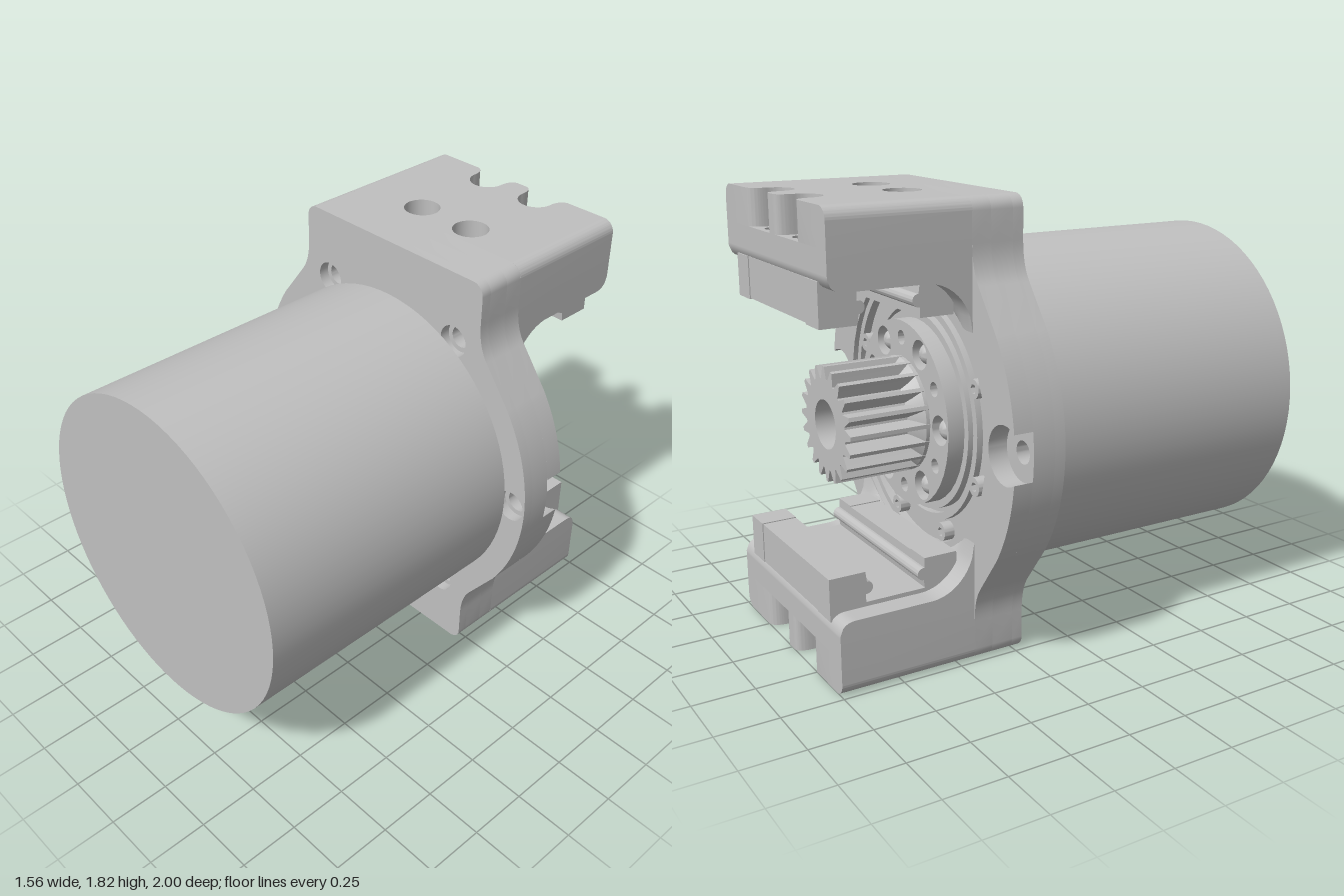
import * as THREE from 'three';
import { toCreasedNormals } from 'three/addons/utils/BufferGeometryUtils.js';

const CY = 0.9075;                       // height of the motor axis
const W = 0.487;                         // half width of the arms
const metal = new THREE.MeshStandardMaterial({ color: 0xc0c0c0 });
metal.name = 'light grey metal';

function add(parent, name, geometry, crease = 0.5) {
  const mesh = new THREE.Mesh(toCreasedNormals(geometry, crease), metal);
  mesh.name = name;
  parent.add(mesh);
  return mesh;
}

// Extrusion along z between two depths
function prism(shape, z0, z1) {
  const g = new THREE.ExtrudeGeometry(shape, { depth: z1 - z0, bevelEnabled: false, curveSegments: 20 });
  return g.translate(0, 0, z0);
}

// Solid of revolution around the z axis, points are [radius, z] running forwards
function turned(points) {
  const g = new THREE.LatheGeometry(points.map(([r, z]) => new THREE.Vector2(r, -z)), 64);
  return g.rotateX(-Math.PI / 2);
}

function hole(shape, x, y, r) {
  shape.holes.push(new THREE.Path().absarc(x, y, r, 0, Math.PI * 2, true));
}

function polar(r, a) { return [r * Math.cos(a), r * Math.sin(a)]; }

// Flange outline from one quarter, mirrored; optionally with open side counterbores
function flangeShape(notched) {
  const q = [];
  if (notched) {
    for (let i = 0; i <= 10; i++) {
      const t = 3.1 - (3.1 - 0.979) * i / 10;
      q.push([0.71 + 0.115 * Math.cos(t), 0.115 * Math.sin(t)]);
    }
  }
  const start = notched ? 0.14 : 0.015;
  for (let i = 0; i <= 14; i++) q.push(polar(0.78, start + (0.585 - start) * i / 14));
  const curve = new THREE.QuadraticBezierCurve(
    new THREE.Vector2(0.53, 0.59), new THREE.Vector2(W, 0.647), new THREE.Vector2(W, 0.74));
  curve.getPoints(8).forEach(p => q.push([p.x, p.y]));
  for (let i = 0; i <= 6; i++) {
    const [x, y] = polar(0.05, i * Math.PI / 12);
    q.push([W - 0.05 + x, CY - 0.05 + y]);
  }
  const r = [...q].reverse();
  const all = [...q, ...r.map(([x, y]) => [-x, y]), ...q.map(([x, y]) => [-x, -y]), ...r.map(([x, y]) => [x, -y])];
  const shape = new THREE.Shape(all.map(([x, y]) => new THREE.Vector2(x, y)));
  hole(shape, 0, 0, 0.58);
  return shape;
}

function buildFlange(root) {
  const flange = new THREE.Group();
  flange.name = 'flange';
  const front = flangeShape(false), middle = flangeShape(false);
  for (let i = 0; i < 6; i++) {
    const [x, y] = polar(0.708, i * Math.PI / 3);
    hole(front, x, y, 0.066);
    hole(middle, x, y, 0.045);
  }
  add(flange, 'flangeFront', prism(front, -0.26, -0.215));
  add(flange, 'flangeMiddle', prism(middle, -0.352, -0.26));
  add(flange, 'flangeBack', prism(flangeShape(true), -0.432, -0.352));
  root.add(flange);
}

// Plan of an arm's upper layers (x across, y towards the back), with end notches
function armPlan(r) {
  const w = W - 0.05, s = new THREE.Shape();
  s.moveTo(-w, 0.43);
  s.lineTo(w, 0.43);
  s.lineTo(w, 1);
  if (r > 0.06) {
    s.lineTo(0.25, 1);
    s.quadraticCurveTo(0.21, 0.99, 0.21, 0.93);
    s.absarc(0.135, 0.93, r, 0, -Math.PI, true);
    s.quadraticCurveTo(0.06, 1, 0.02, 1);
    s.lineTo(-0.02, 1);
    s.quadraticCurveTo(-0.06, 1, -0.06, 0.93);
    s.absarc(-0.135, 0.93, r, 0, -Math.PI, true);
    s.quadraticCurveTo(-0.21, 0.99, -0.25, 1);
  }
  s.lineTo(-w, 1);
  for (const x of [-0.135, 0.135]) {
    hole(s, x, 0.53, r);
    if (r < 0.06) hole(s, x, 0.93, r);
  }
  return s;
}

// Underside of the arm: fillet to the flange, flat seat, rounded tip, cleared by the bore
function undersideY(x, z) {
  const d = -z;
  let y = 0.61;
  if (d < 0.62) y = 0.40 + 0.21 * Math.sqrt(Math.max(0, 1 - ((0.62 - d) / 0.19) ** 2));
  if (d > 0.94) y = 0.61 + 0.05 * (1 - Math.sqrt(Math.max(0, 1 - ((d - 0.94) / 0.06) ** 2)));
  const bore = Math.abs(x) < 0.58 ? Math.sqrt(0.58 ** 2 - x * x) : 0;
  return Math.max(y, bore);
}

function buildArm(name) {
  const arm = new THREE.Group();
  arm.name = name;

  add(arm, 'armTop', prism(armPlan(0.075), 0.76, CY).rotateX(-Math.PI / 2));
  add(arm, 'armLedge', prism(armPlan(0.045), 0.67, 0.76).rotateX(-Math.PI / 2));

  // Conical bottoms of the drilled holes
  for (const x of [-0.135, 0.135]) {
    for (const z of [-0.53, -0.93]) {
      const cone = [new THREE.Vector2(0.045, 0.735), new THREE.Vector2(0.012, 0.675), new THREE.Vector2(0, 0.675)];
      add(arm, 'drilledHole', new THREE.LatheGeometry(cone, 24)).position.set(x, 0, z);
    }
  }

  // Rounded long edges
  for (const side of [-1, 1]) {
    const s = new THREE.Shape();
    s.moveTo(W - 0.05, 0.67);
    s.lineTo(W, 0.67);
    s.lineTo(W, CY - 0.05);
    s.absarc(W - 0.05, CY - 0.05, 0.05, 0, Math.PI / 2, false);
    const g = prism(s, 0.43, 1);
    add(arm, 'armEdge', side > 0 ? g.translate(0, 0, -1.43) : g.rotateY(Math.PI));
  }

  // Lower body shaped by the underside rule
  const g = new THREE.BoxGeometry(2 * W, 0.1, 0.57, 40, 1, 48).translate(0, 0.62, -0.715);
  const p = g.attributes.position;
  for (let i = 0; i < p.count; i++) {
    if (p.getY(i) < 0.62) p.setY(i, undersideY(p.getX(i), p.getZ(i)));
  }
  add(arm, 'armUnderside', g);

  // Linear carriage: channel with a bead on each inner wall
  const carriage = (inset) => {
    const s = new THREE.Shape();
    s.moveTo(0.46 + inset, 0.64);
    s.lineTo(0.46 + inset, 0.47 + inset);
    s.lineTo(0.60, 0.47 + inset);
    s.lineTo(0.60, 0.51);
    s.absarc(0.605, 0.535, 0.025, -Math.PI / 2, Math.PI / 2, false);
    s.lineTo(0.60, 0.5925);
    s.lineTo(0.85, 0.5925);
    s.lineTo(0.85, 0.56);
    s.absarc(0.845, 0.535, 0.025, Math.PI / 2, Math.PI * 1.5, false);
    s.lineTo(0.85, 0.47 + inset);
    s.lineTo(0.998 - inset, 0.47 + inset);
    s.lineTo(0.998 - inset, 0.64);
    return s;
  };
  const along = (inset, x0, x1) => prism(carriage(inset), x0, x1).rotateY(Math.PI / 2);
  add(arm, 'carriageBody', along(0.004, -0.28, 0.28));
  add(arm, 'carriageCap', along(0, 0.28, 0.395));
  add(arm, 'carriageCap', along(0, -0.395, -0.28));
  return arm;
}

function buildGearbox(root) {
  const box = new THREE.Group();
  box.name = 'gearbox';

  // Stepped end plate inside the bore
  add(box, 'endPlate', turned([[0.58, -0.215], [0.58, -0.41], [0.55, -0.41], [0.55, -0.375], [0.46, -0.375],
    [0.46, -0.40], [0.43, -0.40], [0.43, -0.37], [0.41, -0.37], [0.41, -0.41], [0, -0.41]]));

  // Socket screws around the plate
  const head = new THREE.Shape().absarc(0, 0, 0.038, 0, Math.PI * 2, false);
  head.holes.push(new THREE.Path([0, 1, 2, 3, 4, 5].map(i => new THREE.Vector2(...polar(0.02, -i * Math.PI / 3)))));
  for (let i = 0; i < 8; i++) {
    const [x, y] = polar(0.505, (i + 0.5) * Math.PI / 4);
    add(box, 'plateScrew', prism(head, -0.42, -0.37)).position.set(x, y, 0);
  }

  // Output disc with alternating recessed domed screws and plain holes
  const disc = new THREE.Shape().absarc(0, 0, 0.38, 0, Math.PI * 2, false);
  for (let i = 0; i < 12; i++) {
    const [x, y] = polar(0.31, i * Math.PI / 6);
    hole(disc, x, y, i % 2 ? 0.03 : 0.06);
    if (i % 2 === 0) {
      add(box, 'discScrew', new THREE.SphereGeometry(0.052, 20, 8, 0, Math.PI * 2, 0, Math.PI / 2)
        .scale(1, 1.3, 1).rotateX(-Math.PI / 2)).position.set(x, y, -0.41);
    }
  }
  add(box, 'outputDisc', prism(disc, -0.48, -0.41));

  // Pinion with bored centre and tooth run-out
  const teeth = 20, pts = [];
  for (let i = 0; i < teeth; i++) {
    for (const [r, f] of [[0.185, -0.42], [0.21, -0.24], [0.235, -0.11], [0.235, 0.11], [0.21, 0.24], [0.185, 0.42]]) {
      pts.push(new THREE.Vector2(...polar(r, (i + f) * Math.PI * 2 / teeth)));
    }
  }
  const gear = new THREE.Shape(pts);
  hole(gear, 0, 0, 0.1);
  add(box, 'pinion', prism(gear, -0.82, -0.48), 0.3);
  add(box, 'toothRunOut', turned([[0.233, -0.47], [0.233, -0.495], [0.205, -0.525], [0.18, -0.56], [0, -0.56]]));
  root.add(box);
}

export function createModel() {
  const model = new THREE.Group();
  model.name = 'gearMotorClamp';
  const root = new THREE.Group();
  root.name = 'assembly';
  root.position.y = CY;
  model.add(root);

  add(root, 'motorBody', new THREE.CylinderGeometry(0.675, 0.675, 1.215, 80).rotateX(Math.PI / 2).translate(0, 0, 0.3925));
  buildFlange(root);
  root.add(buildArm('upperArm'));
  const lower = buildArm('lowerArm');
  lower.rotation.z = Math.PI;
  root.add(lower);
  buildGearbox(root);
  return model;
}
